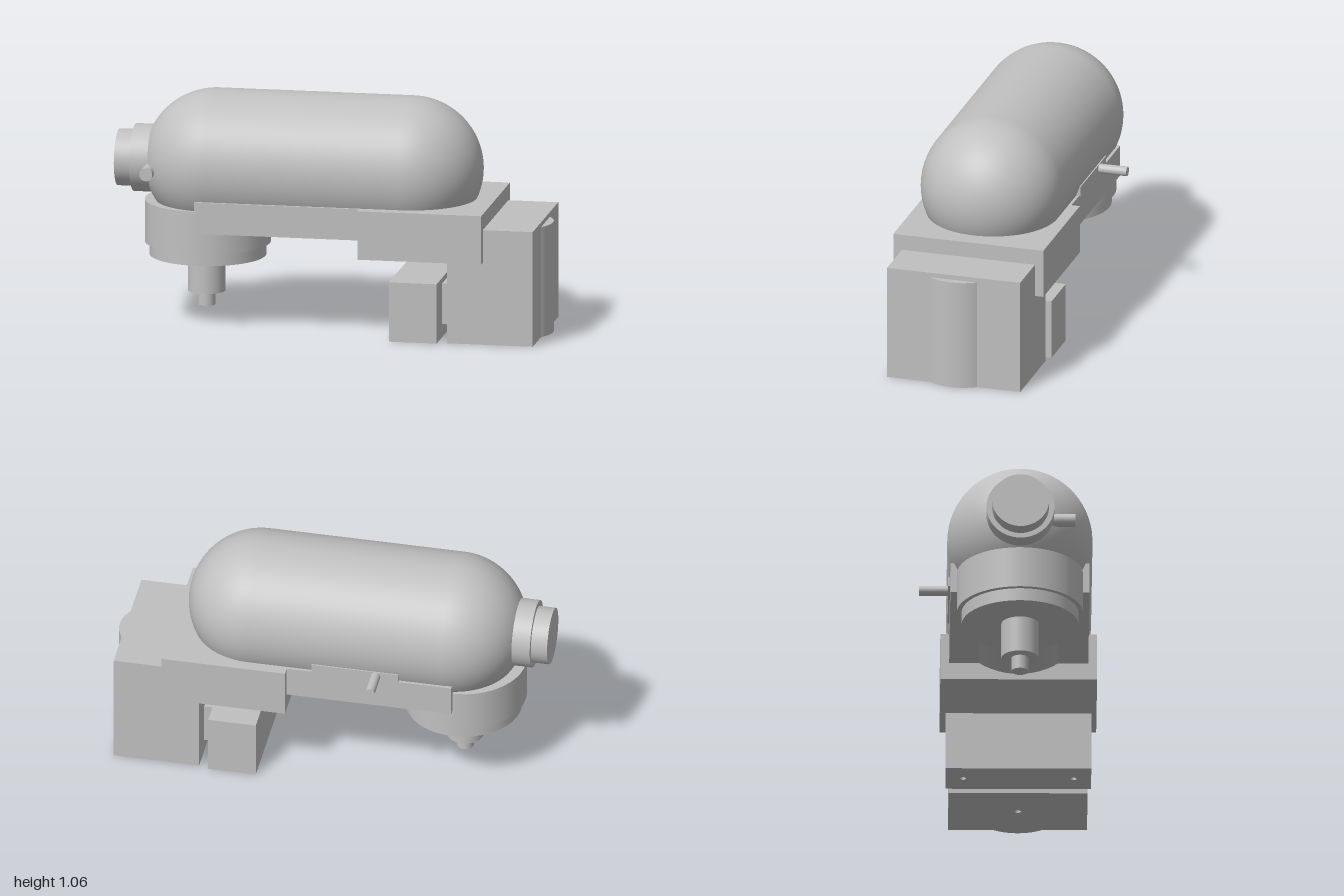
import * as THREE from 'three';

export function createModel() {
  const model = new THREE.Group();
  const grey = new THREE.MeshStandardMaterial({ color: 0xc0c0c0 });
  grey.name = 'plain grey';
  const ZC = 0.05; // the whole assembly is symmetric about this depth

  function add(name, geometry, x = 0, y = 0, z = 0) {
    const mesh = new THREE.Mesh(geometry, grey);
    mesh.name = name;
    mesh.position.set(x, y, z);
    model.add(mesh);
    return mesh;
  }
  // box from its limits on each axis
  function box(name, x0, x1, y0, y1, z0, z1) {
    return add(name, new THREE.BoxGeometry(x1 - x0, y1 - y0, z1 - z0),
      (x0 + x1) / 2, (y0 + y1) / 2, (z0 + z1) / 2);
  }
  // cylinder along an axis, from a to b, at the two remaining coordinates
  function rod(name, axis, r, a, b, p, q) {
    const g = new THREE.CylinderGeometry(r, r, b - a, 48);
    const m = (a + b) / 2;
    if (axis === 'x') return add(name, g.rotateZ(Math.PI / 2), m, p, q);
    if (axis === 'z') return add(name, g.rotateX(Math.PI / 2), p, q, m);
    return add(name, g, p, m, q);
  }
  // block with blind screw holes in its underside: drilled foot and solid top
  function drilledBlock(name, x0, x1, h, z0, z1, holes) {
    const foot = 0.1;
    const s = new THREE.Shape();
    s.moveTo(x0, -z0).lineTo(x0, -z1).lineTo(x1, -z1).lineTo(x1, -z0).closePath();
    for (const [x, z] of holes) {
      s.holes.push(new THREE.Path().absarc(x, -z, 0.014, 0, Math.PI * 2, true));
    }
    const g = new THREE.ExtrudeGeometry(s, { depth: foot, bevelEnabled: false, curveSegments: 16 });
    add(name + 'Foot', g.rotateX(-Math.PI / 2));
    box(name, x0, x1, foot, h, z0, z1);
  }

  // tank with rounded ends, lying along x
  const tank = new THREE.CapsuleGeometry(0.329, 0.896, 24, 64).rotateZ(Math.PI / 2);
  add('tank', tank, -0.102, 0.736, ZC);

  // stepped neck on the left end and ports
  rod('neckCollar', 'x', 0.154, -0.925, -0.8, 0.734, ZC);
  rod('neckCap', 'x', 0.129, -1, -0.925, 0.732, ZC);
  rod('frontPort', 'z', 0.03, 0.1, 0.3, -0.83, 0.71);
  box('portPlate', -0.35, 0.05, 0.605, 0.65, -0.273, -0.15);
  rod('rearPort', 'z', 0.022, -0.405, -0.25, -0.247, 0.628);

  // supports under the tank
  box('rail', -0.595, 0.17, 0.46, 0.605, ZC - 0.315, ZC + 0.315);
  box('saddle', 0.165, 0.735, 0.38, 0.605, -0.305, 0.405);

  // round turret with stepped spindle
  rod('turret', 'y', 0.286, 0.36, 0.555, -0.59, ZC);
  rod('turretBase', 'y', 0.265, 0.3, 0.36, -0.59, ZC);
  rod('spindle', 'y', 0.085, 0.13, 0.3, -0.596, ZC);
  rod('spindleTip', 'y', 0.039, 0.065, 0.13, -0.596, ZC);

  // end block with a curved bulge on its outer face
  drilledBlock('endBlock', 0.57, 0.965, 0.532, -0.265, 0.365, [[0.767, ZC]]);
  const R = 0.19, half = Math.asin(0.11 / R);
  const arc = new THREE.Shape();
  arc.absarc(0, 0, R, -half, half, false);
  arc.closePath();
  const bulge = new THREE.ExtrudeGeometry(arc, { depth: 0.51, bevelEnabled: false, curveSegments: 24 });
  add('endBulge', bulge.rotateX(-Math.PI / 2), 0.81, 0, ZC);

  // clamp block joined to the end block
  drilledBlock('clampBlock', 0.305, 0.525, 0.275, -0.28, 0.38, [[0.415, ZC - 0.25], [0.415, ZC + 0.25]]);
  box('clampLink', 0.525, 0.57, 0.062, 0.25, -0.15, 0.25);

  return model;
}
